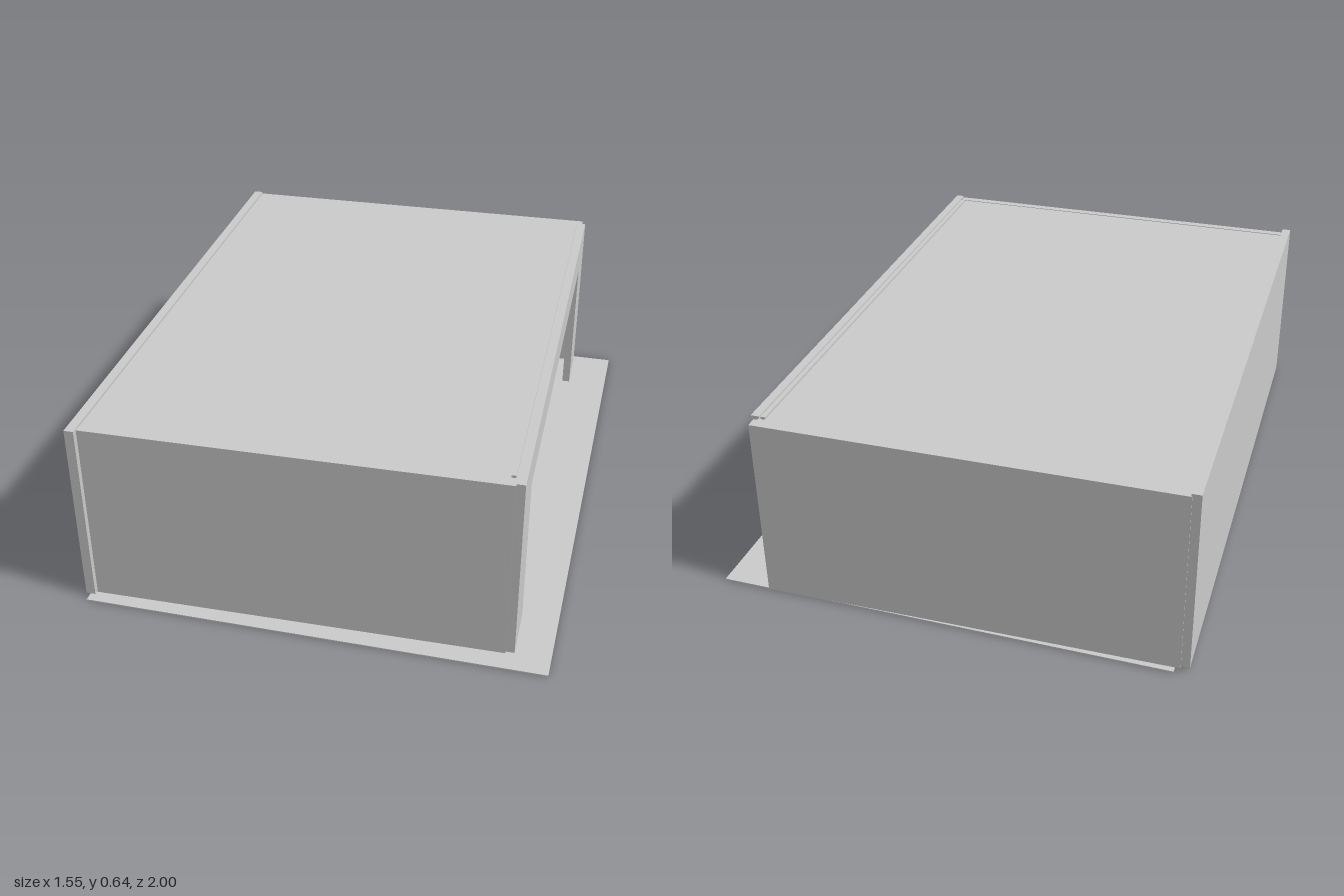
import * as THREE from 'three';

export function createModel() {
  const model = new THREE.Group();
  model.name = 'building';
  const mat = new THREE.MeshStandardMaterial({ color: 0xcccccc, side: THREE.DoubleSide });

  // Box given by its min and max on each axis
  const box = (parent, name, x0, x1, y0, y1, z0, z1) => {
    const mesh = new THREE.Mesh(new THREE.BoxGeometry(x1 - x0, y1 - y0, z1 - z0), mat);
    mesh.position.set((x0 + x1) / 2, (y0 + y1) / 2, (z0 + z1) / 2);
    mesh.name = name;
    parent.add(mesh);
    return mesh;
  };

  // Ground slab, square to the axes
  box(model, 'floorSlab', -0.73, 0.775, 0, 0.004, -1, 1);

  // The shell stands slightly turned on the slab
  const shell = new THREE.Group();
  shell.name = 'shell';
  shell.rotation.y = 0.0175;
  model.add(shell);

  box(shell, 'roof', -0.73, 0.62, 0.612, 0.628, -0.985, 0.942);
  box(shell, 'frontWall', -0.728, 0.617, 0.004, 0.63, 0.915, 0.943);
  box(shell, 'backWall', -0.73, 0.632, 0.004, 0.628, -0.993, -0.957);
  box(shell, 'closedSideWall', -0.758, -0.727, 0.01, 0.636, -0.99, 0.962);
  box(shell, 'roofLip', 0.597, 0.612, 0.622, 0.636, -0.95, 0.9);

  // Side wall with the wide opening, drawn as a gate shape in (z, y)
  const gate = new THREE.Shape([
    [-0.942, 0.01], [-0.756, 0.01], [-0.756, 0.515], [0.758, 0.515],
    [0.758, 0.01], [0.95, 0.01], [0.95, 0.636], [-0.942, 0.636],
  ].map(([a, b]) => new THREE.Vector2(a, b)));
  const gateGeo = new THREE.ExtrudeGeometry(gate, { depth: 0.028, bevelEnabled: false });
  gateGeo.rotateY(Math.PI / 2); // shape x becomes -z, depth becomes +x
  const openWall = new THREE.Mesh(gateGeo, mat);
  openWall.name = 'openSideWall';
  openWall.position.x = 0.617;
  shell.add(openWall);

  // Two low open-topped pens, mirrored front and back
  for (const side of [1, -1]) {
    const pen = new THREE.Group();
    pen.name = side > 0 ? 'frontPen' : 'backPen';
    shell.add(pen);
    const part = (name, x0, x1, y0, y1, zIn, zOut) =>
      box(pen, name, x0, x1, y0, y1, Math.min(side * zIn, side * zOut), Math.max(side * zIn, side * zOut));
    const outer = side > 0 ? 0.915 : 0.957;
    part('outerPanel', 0.54, 0.555, 0.004, 0.2, 0.4, outer);
    part('panelCap', 0.535, 0.56, 0.2, 0.212, 0.4, outer);
    part('innerPanel', 0.15, 0.165, 0.004, 0.2, 0.4, outer);
    part('innerPost', 0.145, 0.17, 0.004, 0.215, 0.397, 0.42);
    for (let i = 0; i < 4; i++) {
      const y = 0.025 + i * 0.05;
      part('rail', 0.165, 0.54, y, y + 0.025, 0.402, 0.414);
    }
  }
  return model;
}
